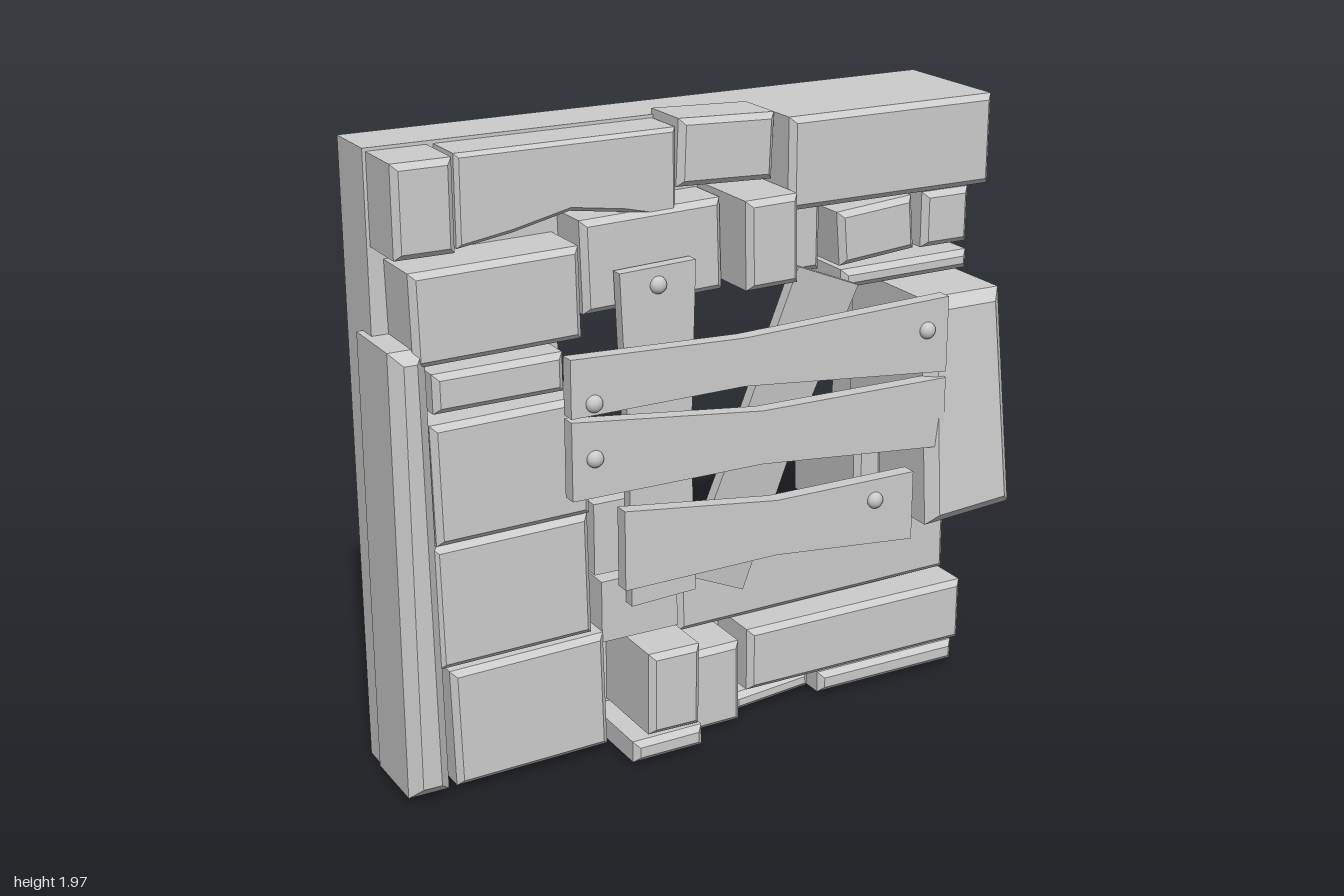
import * as THREE from 'three';

const grey = new THREE.MeshStandardMaterial({ color: 0xcccccc, flatShading: true });
const greyOpen = new THREE.MeshStandardMaterial({ color: 0xcccccc, flatShading: true, side: THREE.DoubleSide });
const smooth = new THREE.MeshStandardMaterial({ color: 0xcccccc });

function outline(points) {
  return new THREE.Shape(points.map(([x, y]) => new THREE.Vector2(x, y)));
}

// Polygon in the xy plane, thickened from z0 to z1, with a chamfer of size b
function slab(points, z0, z1, b = 0) {
  const g = new THREE.ExtrudeGeometry(outline(points), {
    depth: z1 - z0 - 2 * b, bevelEnabled: b > 0, bevelSegments: 1,
    bevelSize: b, bevelThickness: b, bevelOffset: -b,
  });
  return g.translate(0, 0, z0 + b);
}

function rect(x0, x1, y0, y1, angle = 0) {
  const cx = (x0 + x1) / 2, cy = (y0 + y1) / 2, c = Math.cos(angle), s = Math.sin(angle);
  return [[x0, y0], [x1, y0], [x1, y1], [x0, y1]].map(([x, y]) =>
    [cx + (x - cx) * c - (y - cy) * s, cy + (x - cx) * s + (y - cy) * c]);
}

// Push each vertex in z by a rule
function shiftZ(g, rule) {
  const p = g.attributes.position;
  for (let i = 0; i < p.count; i++) p.setZ(i, p.getZ(i) + rule(p.getX(i), p.getY(i), p.getZ(i)));
  g.computeVertexNormals();
  return g;
}

export function createModel() {
  const model = new THREE.Group();
  const add = (name, g, mat = grey, parent = model) => {
    const m = new THREE.Mesh(g, mat);
    m.name = name;
    parent.add(m);
    return m;
  };
  const section = (name) => {
    const g = new THREE.Group();
    g.name = name;
    model.add(g);
    return g;
  };

  // Wall panel with the square window opening
  const wall = outline(rect(-0.98, 0.97, 0, 1.95));
  wall.holes.push(new THREE.Path(rect(-0.4, 0.69, 0.44, 1.52).reverse().map(([x, y]) => new THREE.Vector2(x, y))));
  add('wallPanel', new THREE.ExtrudeGeometry(wall, { depth: 0.19, bevelEnabled: false }).translate(0, 0, -0.29));

  // Stones: x0, x1, y0, y1, front z, tilt, back z
  const stones = section('stones');
  [
    [-0.97, -0.79, 1.67, 1.94, 0.09, 0],
    [0.25, 0.97, 1.67, 1.95, 0.145, 0],
    [-0.08, 0.24, 1.76, 1.96, 0.07, -0.04, -0.13],
    [-0.93, -0.41, 1.36, 1.635, 0.09, 0.02],
    [-0.39, 0.07, 1.43, 1.71, 0.06, 0.03],
    [0.075, 0.25, 1.465, 1.735, 0.2, 0.02],
    [0.27, 0.45, 1.43, 1.66, 0.0, 0],
    [0.47, 0.74, 1.465, 1.635, 0.08, 0.08],
    [0.76, 0.93, 1.48, 1.655, 0.1, 0],
    [0.49, 0.955, 1.38, 1.44, 0.07, 0.01],
    [-0.85, -0.44, 1.19, 1.31, 0.03, 0.01],
    [-0.88, -0.39, 0.81, 1.18, 0.08, 0.02],
    [-0.89, -0.39, 0.42, 0.81, 0.08, 0.02, -0.32],
    [-0.85, -0.345, 0.03, 0.41, 0.085, 0.025],
    [-0.05, 0.96, 0.32, 0.595, 0.0, 0.01],
    [0.15, 0.965, 0.105, 0.315, 0.1, 0],
    [0.43, 0.955, 0.02, 0.09, 0.08, 0],
    [0.13, 0.415, 0.02, 0.08, 0.04, 0.09],
    [-0.06, 0.12, 0.01, 0.285, 0.1, 0.01],
    [-0.255, -0.08, 0.095, 0.365, 0.2, -0.01],
    [-0.31, -0.07, 0.015, 0.085, 0.2, 0.01],
    [0.55, 0.65, 0.59, 0.85, 0.08, 0.02, -0.31],
  ].forEach(([x0, x1, y0, y1, z, tilt, back = -0.2]) =>
    add('stone', slab(rect(x0, x1, y0, y1, tilt), back, z, 0.018), grey, stones));

  // Stones at the corner of the opening, hollow towards the back
  [[-0.365, -0.18, 0.6, 0.83, 0.05], [-0.35, -0.09, 0.38, 0.58, 0.065]].forEach(([x0, x1, y0, y1, z]) => {
    const g = new THREE.BoxGeometry(x1 - x0, y1 - y0, z + 0.31);
    g.setIndex(Array.from(g.index.array).slice(0, 30));
    g.translate((x0 + x1) / 2, (y0 + y1) / 2, (z - 0.31) / 2);
    add('hollowStone', g, greyOpen, stones);
  });

  // Lintel with a worn underside
  add('lintel', slab([[-0.77, 1.67], [-0.6, 1.695], [-0.42, 1.735], [-0.25, 1.71], [-0.08, 1.67],
    [-0.08, 1.94], [-0.77, 1.94]], -0.2, 0.05, 0.012));

  // Tall stone on one side, leaning outwards at the foot
  add('tallStone', shiftZ(slab([[0.675, 0.64], [0.995, 0.66], [0.965, 1.36], [0.68, 1.36]], -0.2, 0.25, 0.035),
    (x, y, z) => (z > 0 ? (1.36 - y) * 0.095 : 0)));

  // Narrow upright stone on the other side
  add('uprightStone', slab([[-1.0, 0.02], [-0.87, 0.02], [-0.89, 1.41], [-1.0, 1.41]], -0.2, 0.1, 0.035));

  // Boards behind the crossing planks
  const boards = section('boards');
  add('uprightBoard', slab([[-0.27, 0.5], [-0.05, 0.51], [-0.065, 1.0], [-0.05, 1.56], [-0.3, 1.55], [-0.275, 1.0]],
    0.07, 0.11), grey, boards);
  add('slantedBoard', shiftZ(slab([[-0.05, 0.53], [0.16, 0.435], [0.33, 0.98], [0.5, 1.41], [0.28, 1.5], [0.12, 1.02]],
    0, 0.04), (x, y) => (y - 0.45) * 0.1), grey, boards);

  // Crossing planks, wider at both ends: x, bottom and top at each end and the middle
  const planks = section('planks');
  const lean = (x) => 0.1 + (x + 0.48) * 0.115;
  [
    [[-0.48, 1.15, 1.33], [0.06, 1.18, 1.33], [0.73, 1.14, 1.38]],
    [[-0.48, 0.895, 1.14], [0.12, 0.925, 1.095], [0.73, 0.895, 1.12]],
    [[-0.32, 0.585, 0.84], [0.17, 0.62, 0.8], [0.63, 0.6, 0.825]],
  ].forEach((cuts) => {
    const low = cuts.map(([x, y]) => [x, y]);
    const high = cuts.map(([x, , y]) => [x, y]).reverse();
    add('plank', shiftZ(slab([...low, ...high], 0, 0.048), lean), grey, planks);
  });

  // Round nail heads
  const nails = section('nails');
  [[-0.41, 1.19], [-0.41, 1.02], [0.66, 1.28], [0.5, 0.75], [-0.175, 1.5, 0.11]].forEach(([x, y, z = lean(x) + 0.048]) => {
    const nail = add('nail', new THREE.SphereGeometry(0.027, 12, 8), smooth, nails);
    nail.position.set(x, y, z);
    nail.scale.z = 0.8;
  });

  return model;
}
